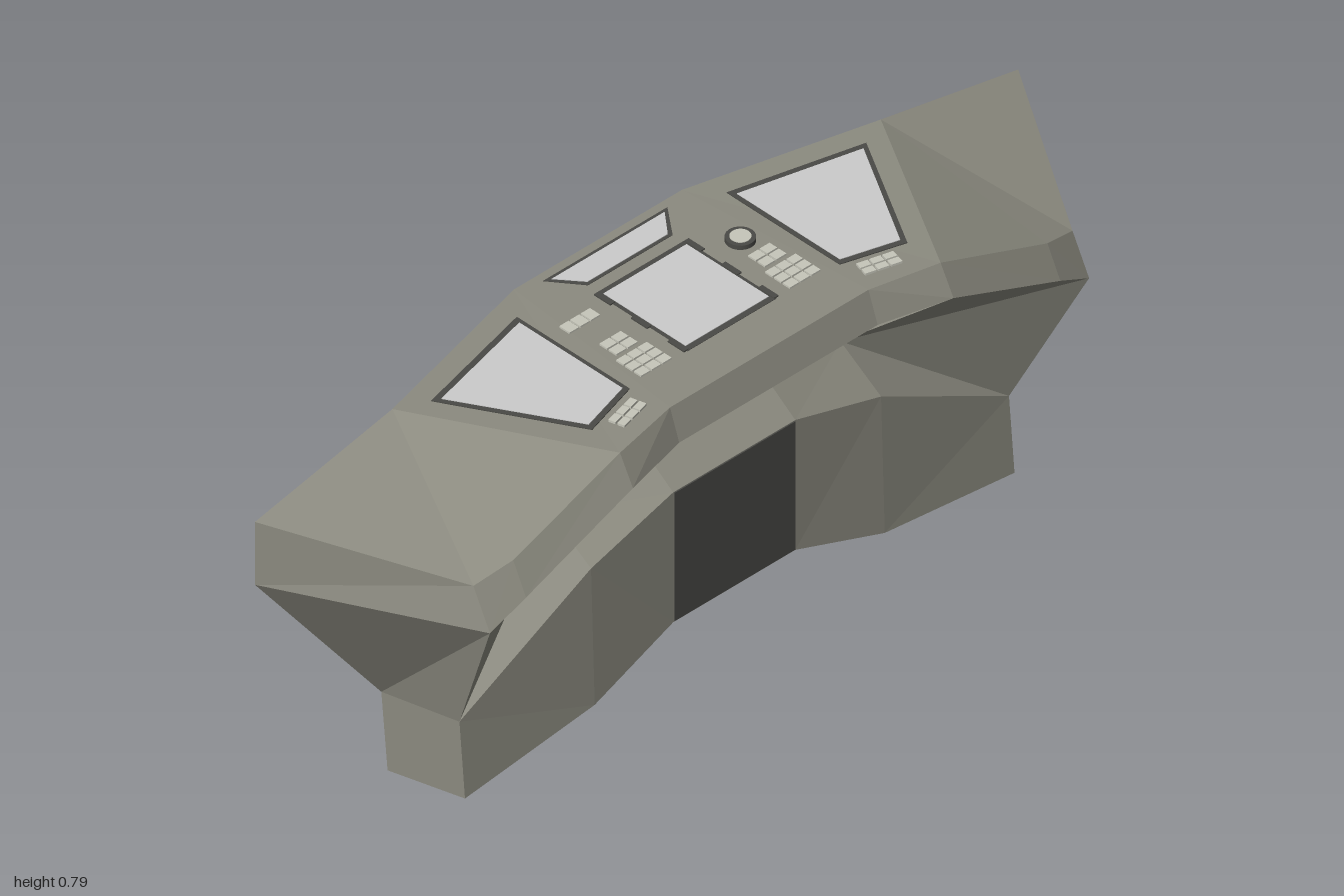
import * as THREE from 'three';

const mat = (name, color, side = THREE.FrontSide) => {
  const m = new THREE.MeshStandardMaterial({ color, side });
  m.name = name;
  return m;
};

export function createModel() {
  const root = new THREE.Group();
  root.name = 'controlConsole';
  const body = mat('olive grey body', 0x8c8b80);
  const dark = mat('dark underside', 0x575250);
  const trim = mat('dark trim', 0x4a4a46);
  const glass = mat('pale screen', 0xcccccc);
  const key = mat('key', 0xc6c6ba);

  const add = (name, geo, material, parent = root) => {
    const m = new THREE.Mesh(geo, material);
    m.name = name;
    parent.add(m);
    return m;
  };

  // Flat faces for x >= 0, mirrored to -x; the hint points outward
  const shell = (name, material, faces) => {
    const pos = [];
    for (const [pts, hint] of faces) {
      for (const s of [1, -1]) {
        const p = pts.map(([x, y, z]) => new THREE.Vector3(x * s, y, z));
        const h = new THREE.Vector3(hint[0] * s, hint[1], hint[2]);
        const n = new THREE.Vector3();
        p.forEach((a, i) => n.add(a.clone().cross(p[(i + 1) % p.length])));
        if (n.dot(h) < 0) p.reverse().unshift(p.pop());
        for (let i = 1; i < p.length - 1; i++) {
          for (const v of [p[0], p[i], p[i + 1]]) pos.push(v.x, v.y, v.z);
        }
      }
    }
    const g = new THREE.BufferGeometry();
    g.setAttribute('position', new THREE.Float32BufferAttribute(pos, 3));
    g.computeVertexNormals();
    return add(name, g, material);
  };

  const UP = [0, 1, 0], DOWN = [0, -1, 0], FRONT = [0, 0, 1], BACK = [0, 0, -1], OUT = [1, 0, 0];

  // Desk corners
  const rimTop = [[0, 0.78, -0.265], [0.22, 0.78, -0.265], [0.64, 0.78, -0.16]];
  const rimLow = [[0, 0.65, -0.265], [0.22, 0.65, -0.265], [0.64, 0.70, -0.16]];
  const lipTop = [[0, 0.78, 0.2], [0.26, 0.78, 0.2], [0.42, 0.775, 0.23], [0.70, 0.67, 0.23], [0.785, 0.643, 0.21]];
  const lipLow = [[0, 0.71, 0.225], [0.26, 0.71, 0.225], [0.42, 0.71, 0.265], [0.70, 0.60, 0.265], [0.785, 0.555, 0.255]];
  const wingTop = [1, 0.705, -0.16], wingLow = [1, 0.555, -0.16];

  // Joins two rows of points with quads
  const strip = (a, b, hint) =>
    a.slice(1).map((p, i) => [[a[i], p, b[i + 1], b[i]], hint]);

  shell('deskTop', body, [
    [[rimTop[1], rimTop[2], lipTop[2], lipTop[1], lipTop[0], rimTop[0]], UP],
    [[rimTop[2], wingTop, lipTop[4], lipTop[3], lipTop[2]], UP],
  ]);
  shell('deskFrontLip', body, strip(lipTop, lipLow, FRONT));
  shell('deskBackRim', body, strip(rimTop, rimLow, BACK));
  shell('wingEnds', body, [[[lipTop[4], wingTop, wingLow, lipLow[4]], OUT]]);
  shell('deskUnderside', dark, [
    [[rimLow[1], rimLow[2], lipLow[2], lipLow[1], lipLow[0], rimLow[0]], DOWN],
  ]);

  // Pedestal rows from the middle to the end
  const frontLow = [[0, 0.16, 0.105], [0.16, 0.16, 0.105], [0.38, 0.09, 0.12], [0.72, 0.05, 0.12]];
  const frontTop = [[0, 0.47, 0.105], [0.16, 0.47, 0.105], [0.38, 0.41, 0.11], [0.72, 0.225, 0.105]];
  const ridge = [[0, 0.545, 0], [0.16, 0.545, 0], [0.38, 0.48, 0]];
  const backTop = [[0, 0.42, -0.11], [0.16, 0.42, -0.11], [0.38, 0.38, -0.105], [0.72, 0.178, -0.107]];
  const backLow = [[0, 0.11, -0.105], [0.16, 0.11, -0.105], [0.38, 0.045, -0.09], [0.72, 0, -0.09]];

  shell('pedestalFront', body, [
    ...strip(frontLow, frontTop, FRONT),
    ...strip(frontTop.slice(0, 3), ridge, UP),
    [[frontTop[2], frontTop[3], ridge[2]], [0, 1, 1]],
    [[ridge[1], ridge[2], backTop[2], backTop[1]], [0, 1, -1]],
    [[frontTop[3], backTop[3], backLow[3], frontLow[3]], OUT],
  ]);
  shell('pedestalBack', dark, strip(backLow, backTop, BACK));
  shell('pedestalBottom', dark, strip(frontLow, backLow, DOWN));

  // Legs spreading from the pedestal to the wings
  shell('wingLegs', body, [
    [[ridge[2], frontTop[3], lipLow[4], lipLow[3], lipLow[2]], FRONT],
    [[backTop[3], backTop[2], rimLow[2], rimTop[2], wingTop, wingLow], BACK],
    [[lipLow[4], wingLow, backTop[3], frontTop[3]], [1, -0.5, 0]],
    [[ridge[2], lipLow[2], rimLow[2], backTop[2]], [-1, 0, -0.5]],
  ]);

  // Tapered middle column
  const cf = [0.12, 0.69, -0.02], cb = [0.12, 0.665, -0.16];
  shell('middleColumn', body, [
    [[ridge[0], ridge[1], cf, [0, cf[1], cf[2]]], FRONT],
    [[backTop[0], backTop[1], cb, [0, cb[1], cb[2]]], BACK],
    [[ridge[1], cf, cb, backTop[1]], OUT],
  ]);

  // Vent panel on the pedestal front
  add('ventPanel', new THREE.BoxGeometry(0.316, 0.306, 0.004), trim).position.set(0, 0.316, 0.1055);

  // Thin plate lying on the desk, outline given in x and z
  const plate = (name, pts, top, material) => {
    const shape = new THREE.Shape(pts.map(([x, z]) => new THREE.Vector2(x, z)));
    const g = new THREE.ExtrudeGeometry(shape, { depth: top - 0.779, bevelEnabled: false });
    g.rotateX(Math.PI / 2);
    add(name, g, material).position.y = top;
  };
  const rect = (x0, x1, z0, z1) => [[x0, z0], [x1, z0], [x1, z1], [x0, z1]];

  // Screens with dark frames
  for (const s of [1, -1]) {
    const mx = (pts) => pts.map(([x, z]) => [x * s, z]);
    plate('sideScreenFrame', mx([[0.275, -0.2], [0.57, -0.127], [0.413, 0.147], [0.275, 0.106]]), 0.781, trim);
    plate('sideScreen', mx([[0.285, -0.183], [0.553, -0.117], [0.408, 0.133], [0.285, 0.097]]), 0.7825, glass);
    // Clips beside the middle screen
    for (const z of [-0.125, -0.025, 0.075]) {
      plate('screenClip', mx(rect(0.112, 0.124, z - 0.022, z + 0.022)), 0.783, trim);
    }
  }
  plate('middleScreenFrame', rect(-0.117, 0.117, -0.149, 0.099), 0.781, trim);
  plate('middleScreen', rect(-0.109, 0.109, -0.137, 0.086), 0.7825, glass);
  plate('rearScreenFrame', [[-0.163, -0.245], [0.163, -0.245], [0.111, -0.177], [-0.111, -0.177]], 0.781, trim);
  plate('rearScreen', [[-0.148, -0.237], [0.148, -0.237], [0.105, -0.184], [-0.105, -0.184]], 0.7825, glass);

  // Key blocks: centre, columns, rows, spacing and turn
  const keys = (name, cx, cz, cols, rows, dx, dz, turn = 0) => {
    const g = new THREE.Group();
    g.name = name;
    g.position.set(cx, 0.7815, cz);
    g.rotation.y = turn;
    for (let c = 0; c < cols; c++) {
      for (let r = 0; r < rows; r++) {
        add('key', new THREE.BoxGeometry(dx - 0.004, 0.005, dz - 0.004), key, g)
          .position.set((c - (cols - 1) / 2) * dx, 0, (r - (rows - 1) / 2) * dz);
      }
    }
    root.add(g);
  };
  keys('rearKeys', -0.2, -0.107, 3, 1, 0.028, 0.032);
  for (const s of [1, -1]) {
    keys('middleKeys', 0.195 * s, -0.007, 2, 2, 0.03, 0.025);
    keys('keypad', 0.195 * s, 0.062, 3, 3, 0.028, 0.024);
    keys('frontKeys', 0.33 * s, 0.157, 3, 2, 0.028, 0.02, -0.26 * s);
  }

  // Round knob
  add('knobBase', new THREE.CylinderGeometry(0.03, 0.03, 0.012, 20), trim).position.set(0.192, 0.784, -0.077);
  add('knobCap', new THREE.CylinderGeometry(0.021, 0.021, 0.002, 20), key).position.set(0.192, 0.7905, -0.077);

  return root;
}
